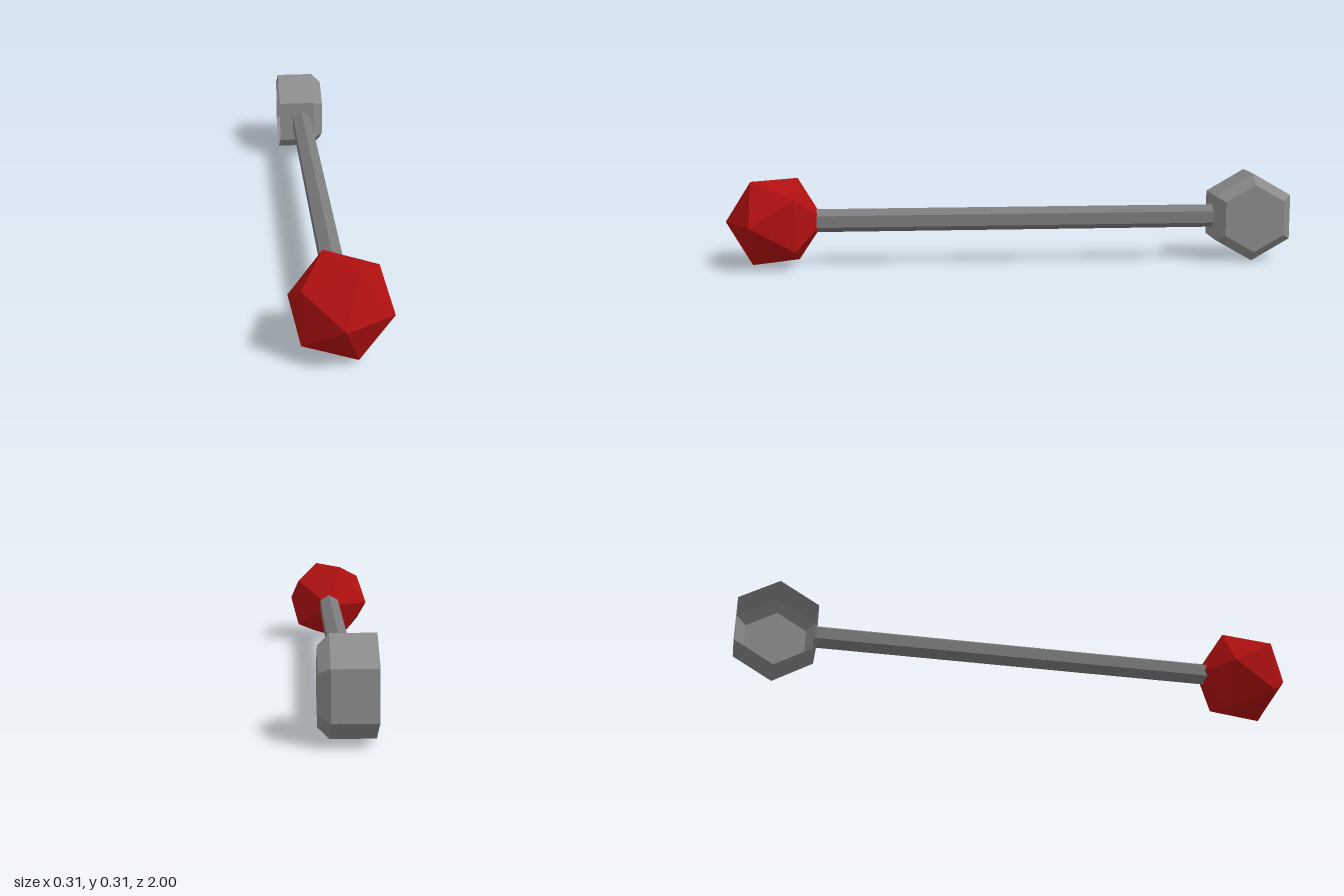
import * as THREE from 'three';
import { ConvexGeometry } from 'three/addons/geometries/ConvexGeometry.js';

const AXIS_Y = 0.16;

function flatMaterial(name, color) {
  const m = new THREE.MeshStandardMaterial({ color });
  m.name = name;
  m.flatShading = true;
  return m;
}

// Twenty-sided ball with one corner pointing to +z
function ballGeometry(radius) {
  const points = [new THREE.Vector3(0, 0, radius), new THREE.Vector3(0, 0, -radius)];
  const ring = radius * 2 / Math.sqrt(5), depth = radius / Math.sqrt(5);
  for (let i = 0; i < 5; i++) {
    const a = i * Math.PI * 2 / 5;
    const x = ring * Math.cos(a), y = ring * Math.sin(a);
    points.push(new THREE.Vector3(x, y, depth), new THREE.Vector3(-x, -y, -depth));
  }
  return new ConvexGeometry(points);
}

export function createModel() {
  const red = flatMaterial('red', 0xb01010);
  const steel = flatMaterial('steel grey', 0x8c8c8c);
  steel.side = THREE.DoubleSide;
  const shaftGrey = flatMaterial('shaft grey', 0x7c7c7c);

  const model = new THREE.Group();
  model.name = 'hammer';
  const add = (name, geometry, material, z) => {
    const mesh = new THREE.Mesh(geometry, material);
    mesh.name = name;
    mesh.position.set(0, AXIS_Y, z);
    model.add(mesh);
  };

  // Faceted grip ball
  add('gripBall', ballGeometry(0.172), red, 0.828);

  // Six-sided shaft, its end just showing inside the head
  const back = -0.733, front = 0.72;
  const shaft = new THREE.CylinderGeometry(0.041, 0.041, front - back, 6);
  shaft.rotateX(Math.PI / 2);
  add('shaft', shaft, shaftGrey, (front + back) / 2);

  // Hexagonal shell head: bevelled face on +x, open on -x
  const profile = [[0.157, -0.087], [0.157, 0.052], [0.121, 0.087], [0, 0.087]]
    .map(([r, h]) => new THREE.Vector2(r, h));
  const head = new THREE.LatheGeometry(profile, 6, Math.PI / 6);
  head.rotateZ(-Math.PI / 2);
  add('hammerHead', head, steel, -0.864);

  return model;
}
